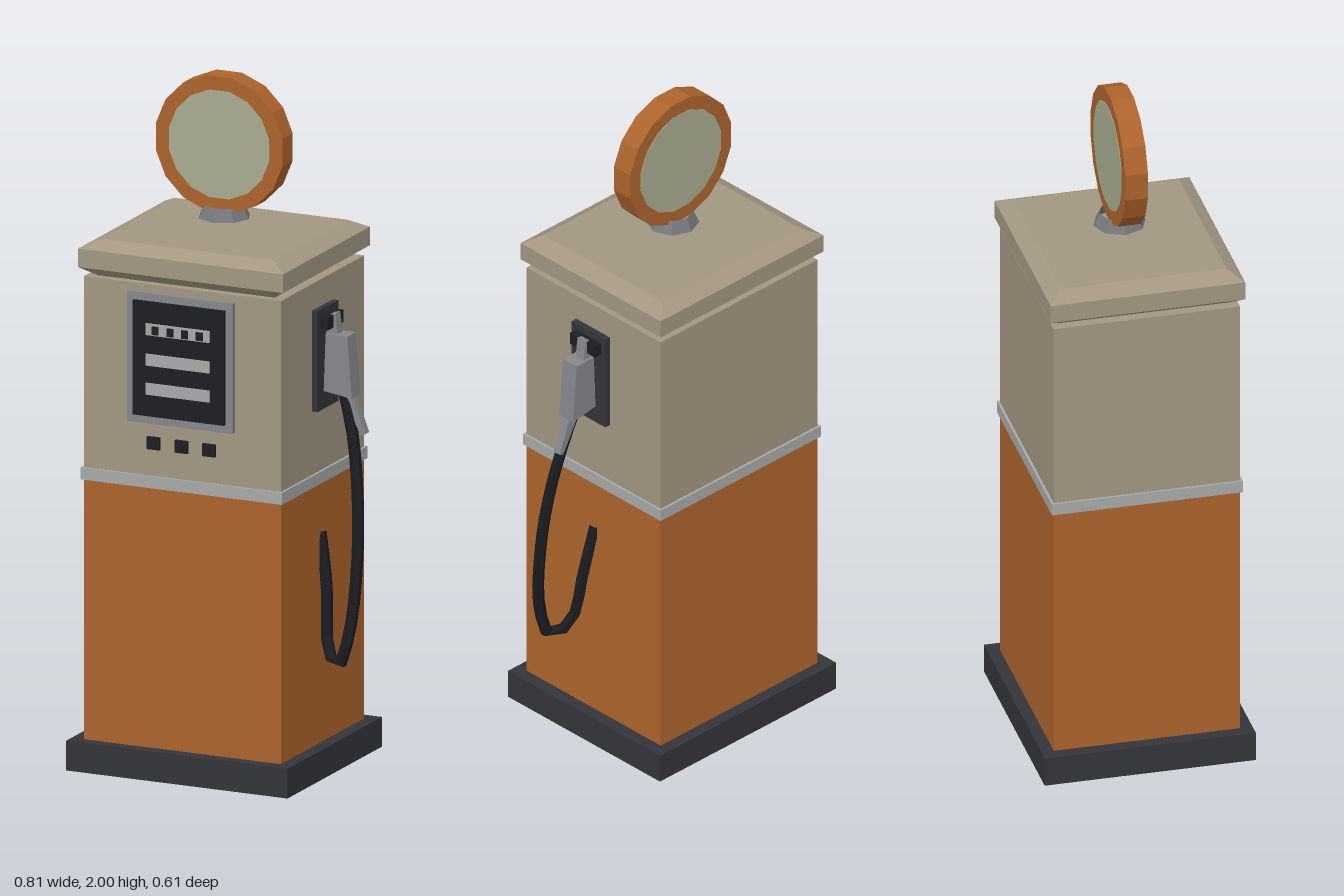
import * as THREE from 'three';

const mat = (color, side = THREE.FrontSide) =>
  new THREE.MeshStandardMaterial({ color, flatShading: true, side });
const ORANGE = mat(0xad642c), BEIGE = mat(0xa39782), DARK = mat(0x34353a), BLACK = mat(0x1c1f22);
const STEEL = mat(0x85878c), SILVER = mat(0xa8aaa9), CREAM = mat(0xa9ac91), RUBBER = mat(0x1b1c20);
const CX = -0.062; // centre line of the cabinet

export function createModel() {
  const model = new THREE.Group();
  model.name = 'fuelPump';

  const add = (name, geometry, material, parent = model) => {
    const mesh = new THREE.Mesh(geometry, material);
    mesh.name = name;
    parent.add(mesh);
    return mesh;
  };
  // Box given by its limits on each axis
  const box = (name, material, [x0, x1], [y0, y1], [z0, z1], parent) => {
    const mesh = add(name, new THREE.BoxGeometry(x1 - x0, y1 - y0, z1 - z0), material, parent);
    mesh.position.set((x0 + x1) / 2, (y0 + y1) / 2, (z0 + z1) / 2);
    return mesh;
  };
  const slab = (name, material, halfX, y, halfZ) =>
    box(name, material, [CX - halfX, CX + halfX], y, [-halfZ, halfZ]);

  // Cabinet
  slab('base', DARK, 0.346, [0, 0.087], 0.307);
  slab('lowerCabinet', ORANGE, 0.308, [0.087, 0.85], 0.271);
  slab('trimBand', SILVER, 0.315, [0.847, 0.882], 0.278);
  slab('upperCabinet', BEIGE, 0.308, [0.88, 1.44], 0.271);

  // Roof: square profile chamfered above and below
  const roofProfile = [[0, 1.437], [0.85, 1.437], [1, 1.468], [1, 1.522], [0.85, 1.547], [0, 1.547]]
    .map(([r, y]) => new THREE.Vector2(r * Math.SQRT2, y));
  const roof = add('roof', new THREE.LatheGeometry(roofProfile, 4, Math.PI / 4), BEIGE);
  roof.scale.set(0.32, 1, 0.283);
  roof.position.x = CX;

  // Round sign on an open eight-sided collar
  const sign = new THREE.Group();
  sign.name = 'sign';
  sign.position.set(CX, 0, -0.002);
  model.add(sign);
  const collar = add('signCollar',
    new THREE.CylinderGeometry(0.058, 0.076, 0.037, 8, 1, true), mat(0x75777c, THREE.DoubleSide), sign);
  collar.position.y = 1.602;
  const disc = (name, radius, depth, material) => {
    const geometry = new THREE.CylinderGeometry(radius, radius, depth, 16);
    geometry.rotateY(Math.PI / 16).rotateX(Math.PI / 2);
    add(name, geometry, material, sign).position.y = 1.802;
  };
  disc('signRim', 0.202, 0.066, ORANGE);
  disc('signFaces', 0.16, 0.069, CREAM);

  // Display on the front
  const display = new THREE.Group();
  display.name = 'display';
  model.add(display);
  box('displayFrame', STEEL, [-0.228, 0.102], [1.038, 1.418], [0.265, 0.286], display);
  box('displayPanel', BLACK, [-0.206, 0.08], [1.062, 1.396], [0.28, 0.297], display);
  for (const y of [1.143, 1.228, 1.317])
    box('readoutStrip', SILVER, [-0.163, 0.037], [y - 0.017, y + 0.017], [0.29, 0.302], display);
  for (let i = 0; i < 4; i++) {
    const x = -0.131 + i * 0.046;
    box('counterWindow', BLACK, [x - 0.01, x + 0.01], [1.304, 1.328], [0.3, 0.307], display);
  }
  for (const x of [-0.15, CX, 0.024])
    box('button', BLACK, [x - 0.02, x + 0.02], [0.961, 0.997], [0.265, 0.281], display);

  // Nozzle holder on the left side
  box('holderPlate', DARK, [0.24, 0.264], [1.068, 1.362], [-0.066, 0.07]);
  box('holderHook', BLACK, [0.26, 0.288], [1.305, 1.342], [-0.048, 0.052]);

  // Nozzle
  const nozzle = new THREE.Group();
  nozzle.name = 'nozzle';
  model.add(nozzle);
  const plate = (name, points, depth, material, z = 0) => {
    const shape = new THREE.Shape(points.map(([x, y]) => new THREE.Vector2(x, y)));
    const geometry = new THREE.ExtrudeGeometry(shape, { depth, bevelEnabled: false });
    add(name, geometry.translate(0, 0, z - depth / 2), material, nozzle);
  };
  plate('nozzleBody', [[0.264, 1.12], [0.352, 1.107], [0.338, 1.287], [0.27, 1.287]], 0.056, STEEL, 0.002);
  plate('nozzleNeck', [[0.265, 1.28], [0.302, 1.28], [0.294, 1.346], [0.268, 1.34]], 0.032, STEEL);
  plate('nozzleLever', [[0.31, 1.115], [0.346, 1.115], [0.388, 1.005], [0.374, 1.0]], 0.026, STEEL, 0.004);

  // Hose: hangs from the nozzle and loops back to the cabinet
  const hosePath = new THREE.CatmullRomCurve3([
    [0.315, 1.12, 0.004], [0.35, 1.0, 0.02], [0.377, 0.84, 0.045], [0.388, 0.66, 0.068],
    [0.374, 0.45, 0.088], [0.334, 0.335, 0.084], [0.288, 0.375, 0.05], [0.268, 0.55, 0.018], [0.24, 0.7, 0],
  ].map((p) => new THREE.Vector3(...p)));
  add('hose', new THREE.TubeGeometry(hosePath, 20, 0.017, 6), RUBBER);

  return model;
}
